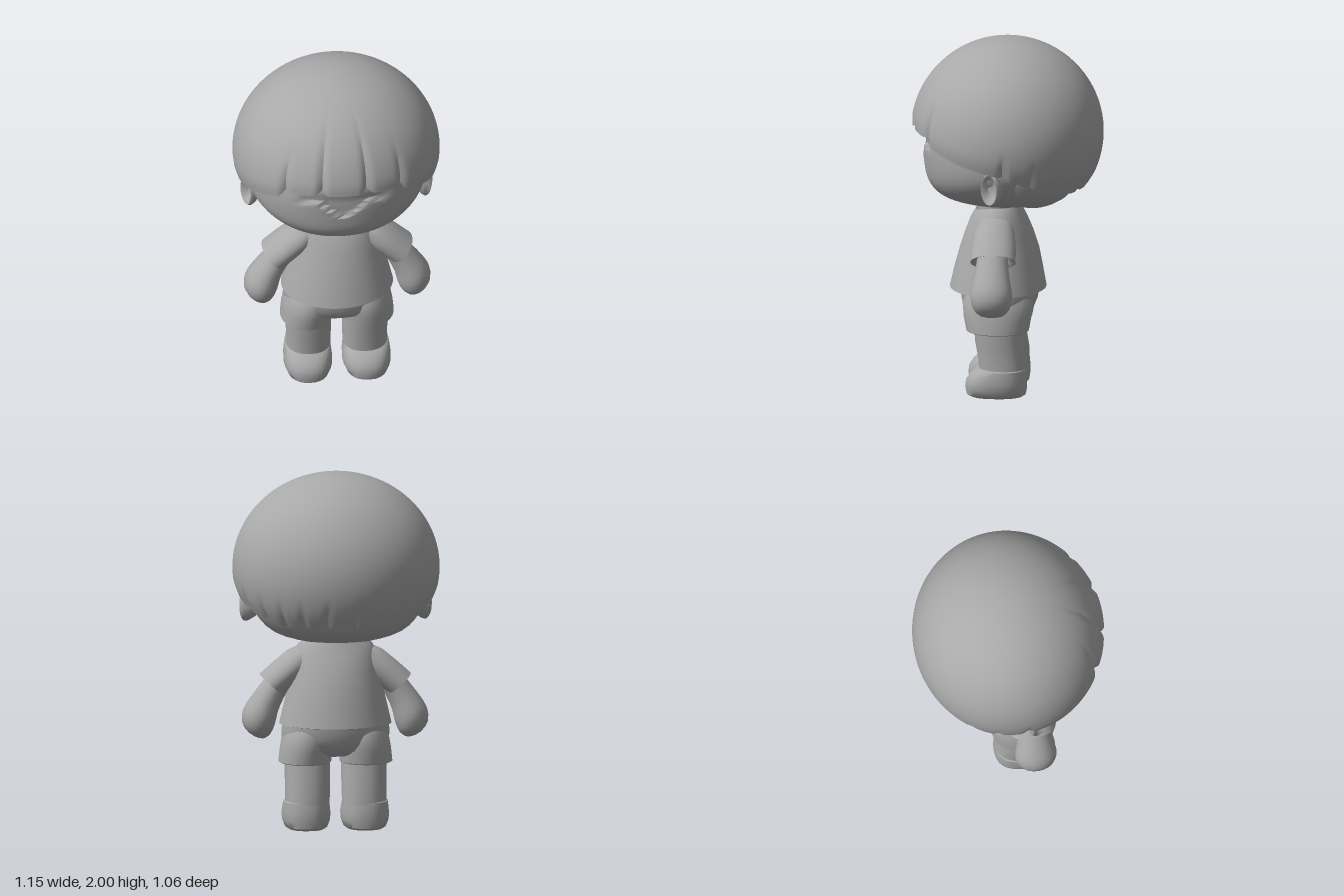
import * as THREE from 'three';
import { toCreasedNormals } from 'three/addons/utils/BufferGeometryUtils.js';

const clay = new THREE.MeshStandardMaterial({ color: 0xa8a8a8 });
clay.name = 'grey clay';

// Surface closed around u, running from the first row up to the last
function grid(name, point, nu, nv, crease = 0.75) {
  const pos = [], idx = [];
  for (let j = 0; j <= nv; j++)
    for (let i = 0; i < nu; i++) pos.push(...point((i / nu) * Math.PI * 2, j));
  for (let j = 0; j < nv; j++)
    for (let i = 0; i < nu; i++) {
      const a = j * nu + i, b = j * nu + (i + 1) % nu;
      idx.push(a, b, b + nu, a, b + nu, a + nu);
    }
  const geo = new THREE.BufferGeometry();
  geo.setAttribute('position', new THREE.Float32BufferAttribute(pos, 3));
  geo.setIndex(idx);
  const mesh = new THREE.Mesh(toCreasedNormals(geo, crease), clay);
  mesh.name = name;
  return mesh;
}

// Loft through rings [centre x, y, centre z, radius x, radius z]; k rows per span
function loft(name, rings, { n = 32, k = 1, warp = null, power = 1 } = {}) {
  const mid = new THREE.CatmullRomCurve3(rings.map(r => new THREE.Vector3(r[0], r[1], r[2])), false, 'catmullrom');
  const rad = new THREE.CatmullRomCurve3(rings.map(r => new THREE.Vector3(r[3], 0, r[4])), false, 'catmullrom');
  const nv = (rings.length - 1) * k;
  const bend = v => Math.sign(v) * Math.abs(v) ** power;
  return grid(name, (a, j) => {
    const c = mid.getPoint(j / nv), r = rad.getPoint(j / nv);
    const p = [c.x + Math.max(r.x, 0) * bend(Math.sin(a)), c.y, c.z + Math.max(r.z, 0) * bend(Math.cos(a))];
    return warp ? warp(p, a) : p;
  }, n, nv);
}

// Piecewise linear lookup in [[x, y], ...]
function lookup(keys, x) {
  for (let i = 1; i < keys.length; i++)
    if (x <= keys[i][0]) {
      const [a, b] = [keys[i - 1], keys[i]];
      return a[1] + (b[1] - a[1]) * (x - a[0]) / (b[0] - a[0]);
    }
  return keys[keys.length - 1][1];
}
const smooth = THREE.MathUtils.smoothstep;

// Head, with a folded crease for the closed eyes and nose
function makeHead() {
  const rows = [
    [1.07, 0, 0, 0], [1.07, 0.12, 0.15, -0.14], [1.085, 0.22, 0.24, -0.21], [1.13, 0.34, 0.37, -0.31],
    [1.2, 0.43, 0.435, -0.37], [1.3, 0.49, 0.46, -0.42], [1.45, 0.5, 0.468, -0.44],
    [1.6, 0.47, 0.43, -0.42], [1.75, 0.36, 0.33, -0.33], [1.85, 0, 0, 0],
  ];
  const crease = [[0, 1.31], [0.03, 1.325], [0.1, 1.375], [0.14, 1.42], [0.2, 1.405], [0.25, 1.39]];
  return loft('head', rows.map(([y, rx, f, b]) => [0, y, (f + b) / 2, rx, (f - b) / 2]), {
    n: 96, k: 10, power: 0.95,
    warp: ([x, y, z]) => {
      const ax = Math.abs(x), yc = lookup(crease, ax);
      if (z > 0 && ax < 0.28)
        z -= 0.02 * smooth(y, yc, yc + 0.02) * (1 - smooth(y, 1.42, 1.5)) * (1 - smooth(ax, 0.2, 0.27));
      return [x, y, z];
    },
  });
}

// Bowl-cut hair: an ellipsoid trimmed along a sloping hem, grooved into locks
function makeHair() {
  const hem = [[0, 1.515], [0.25, 1.515], [0.6, 1.5], [0.66, 1.46], [1.1, 1.39], [1.57, 1.33],
    [1.95, 1.25], [2.4, 1.185], [3.2, 1.185]];
  const longLocks = [0.23], shortLocks = [0.62, 1.58, 1.9, 2.2, 2.45, 2.7, 2.98];
  const groove = (list, a) => Math.max(...list.map(c => Math.exp(-(((a - c) / 0.035) ** 2))));
  const rows = 30;
  return grid('hair', (u, j) => {
    const a = u > Math.PI ? 2 * Math.PI - u : u;
    const gl = groove(longLocks, a), gs = groove(shortLocks, a);
    const yHem = lookup(hem, a) + (a < 0.8 ? 0.03 : 0.01) * Math.max(gl, gs);
    const end = Math.acos((yHem - 1.47) / 0.53);
    const t = j < 2 ? 1 : 1 - (j - 1) / (rows - 1);
    const phi = end * t;
    const dent = 0.022 * gl * smooth(t, 0.2, 1) + 0.02 * gs * smooth(t, a < 1 ? 0.6 : 0.84, 1);
    const tuck = 0.012 * smooth(t, 0.93, 1);
    const s = Math.sin(phi) * (1 - dent / 0.53 - tuck) * (j === 0 ? 0.86 : 1);
    const y = 1.47 + 0.53 * Math.cos(phi) + (j === 0 ? 0.02 : 0);
    return [0.575 * s * Math.sin(u), y, 0.535 * s * Math.cos(u)];
  }, 192, rows, 0.6);
}

// Short hair at the nape, a shell hugging the back of the head
function makeNape() {
  return loft('napeHair', [
    [0, 1.075, -0.12, 0, 0], [0, 1.075, -0.15, 0.14, 0.08], [0, 1.09, -0.15, 0.24, 0.12],
    [0, 1.13, -0.14, 0.355, 0.205], [0, 1.2, -0.13, 0.435, 0.265], [0, 1.3, -0.12, 0.485, 0.315],
    [0, 1.36, -0.12, 0.4, 0.3],
  ], { n: 40, k: 2 });
}

export function createModel() {
  const model = new THREE.Group();
  model.name = 'child figure';
  model.add(makeHead(), makeHair(), makeNape());

  model.add(loft('neck', [[0, 0.98, 0.05, 0.14, 0.115], [0, 1.1, 0.05, 0.14, 0.115]]));

  // Flared shirt with a neckline dipping at the front
  model.add(loft('shirt', [
    [0, 0.605, 0.05, 0.26, 0.21], [0, 0.585, 0.05, 0.3, 0.258], [0, 0.588, 0.05, 0.312, 0.268],
    [0, 0.7, 0.047, 0.286, 0.245], [0, 0.8, 0.043, 0.262, 0.222], [0, 0.9, 0.043, 0.24, 0.19],
    [0, 0.98, 0.045, 0.228, 0.158], [0, 1.03, 0.05, 0.208, 0.136], [0, 1.065, 0.05, 0.17, 0.122],
    [0, 1.045, 0.05, 0.135, 0.105],
  ], {
    n: 40,
    warp: ([x, y, z], a) => [x, y - 0.035 * smooth(y, 1.0, 1.05) * Math.max(0, Math.cos(a)) ** 2, z],
  }));

  // Seat of the shorts
  model.add(loft('shortsSeat', [
    [0, 0.4, 0.045, 0, 0], [0, 0.41, 0.045, 0.14, 0.1], [0, 0.45, 0.045, 0.27, 0.175],
    [0, 0.52, 0.042, 0.3, 0.21], [0, 0.6, 0.04, 0.295, 0.222],
  ], { n: 40, k: 2 }));

  for (const s of [1, -1]) {
    const side = s > 0 ? 'left' : 'right';
    const put = (mesh, x, y, z, tilt = 0) => {
      mesh.position.set(s * x, y, z);
      mesh.rotation.z = s * tilt;
      model.add(mesh);
      return mesh;
    };

    // Cupped ear turned slightly forwards
    const ear = put(loft(side + 'Ear', [
      [0, -0.06, 0, 0.03, 0.025], [0, -0.02, 0, 0.065, 0.045], [0, 0.02, 0, 0.09, 0.058],
      [0, 0.04, 0, 0.095, 0.06], [0, 0.052, 0, 0.085, 0.052], [0, 0.045, 0, 0.07, 0.042],
      [0, 0.02, 0, 0.045, 0.025], [0, 0.015, 0, 0, 0],
    ], { n: 24 }), 0.465, 1.255, 0.05, -Math.PI / 2);
    ear.rotation.y = -s * 0.5;

    // Sleeve, open at its lower end
    put(loft(side + 'Sleeve', [
      [0, 0.03, 0, 0.06, 0.085], [0, 0.005, 0, 0.074, 0.112], [0, 0, 0, 0.085, 0.126],
      [-s * 0.013, 0.1, 0, 0.085, 0.123], [-s * 0.03, 0.2, 0, 0.085, 0.112],
      [-s * 0.04, 0.27, -0.005, 0.065, 0.09], [-s * 0.04, 0.31, -0.01, 0, 0],
    ], { n: 28 }), 0.355, 0.805, 0.06, 0.707);

    // Arm ending in a mitten hand
    put(loft(side + 'Arm', [
      [0, 0, 0, 0, 0], [s * 0.005, 0.008, 0, 0.045, 0.06], [s * 0.018, 0.045, 0, 0.085, 0.1],
      [s * 0.028, 0.11, 0, 0.097, 0.117], [s * 0.03, 0.18, 0, 0.087, 0.106],
      [s * 0.02, 0.26, 0, 0.077, 0.092], [0, 0.36, 0, 0.07, 0.085],
    ], { n: 24, k: 2 }), 0.44, 0.51, 0.065, 0.4);

    // Leg of the shorts
    put(loft(side + 'ShortsLeg', [
      [0, 0.39, 0, 0.115, 0.13], [0, 0.37, 0, 0.138, 0.165], [0, 0.375, 0, 0.147, 0.174],
      [-s * 0.006, 0.45, 0, 0.145, 0.188], [-s * 0.015, 0.53, 0, 0.14, 0.195], [-s * 0.02, 0.58, 0, 0.12, 0.17],
    ], { n: 32 }), 0.17, 0, 0.045);

    put(loft(side + 'Leg', [
      [0.004 * s, 0.05, 0.015, 0.125, 0.13], [0, 0.2, 0.018, 0.124, 0.133],
      [0, 0.3, 0.035, 0.126, 0.134], [0, 0.42, 0.045, 0.126, 0.134],
    ], { n: 28, power: 0.9 }), 0.157, 0, 0);

    // Rounded foot with a short toe
    put(loft(side + 'Foot', [
      [0, 0, 0.05, 0, 0], [0, 0, 0.05, 0.1, 0.145], [0, 0.012, 0.052, 0.118, 0.165],
      [0, 0.05, 0.053, 0.133, 0.172], [0, 0.09, 0.05, 0.135, 0.17],
      [0, 0.125, 0.04, 0.131, 0.158], [0, 0.155, 0.024, 0.127, 0.138], [0, 0.165, 0.02, 0.11, 0.12],
    ], { n: 28, power: 0.85 }), 0.163, 0, 0);
  }
  return model;
}
